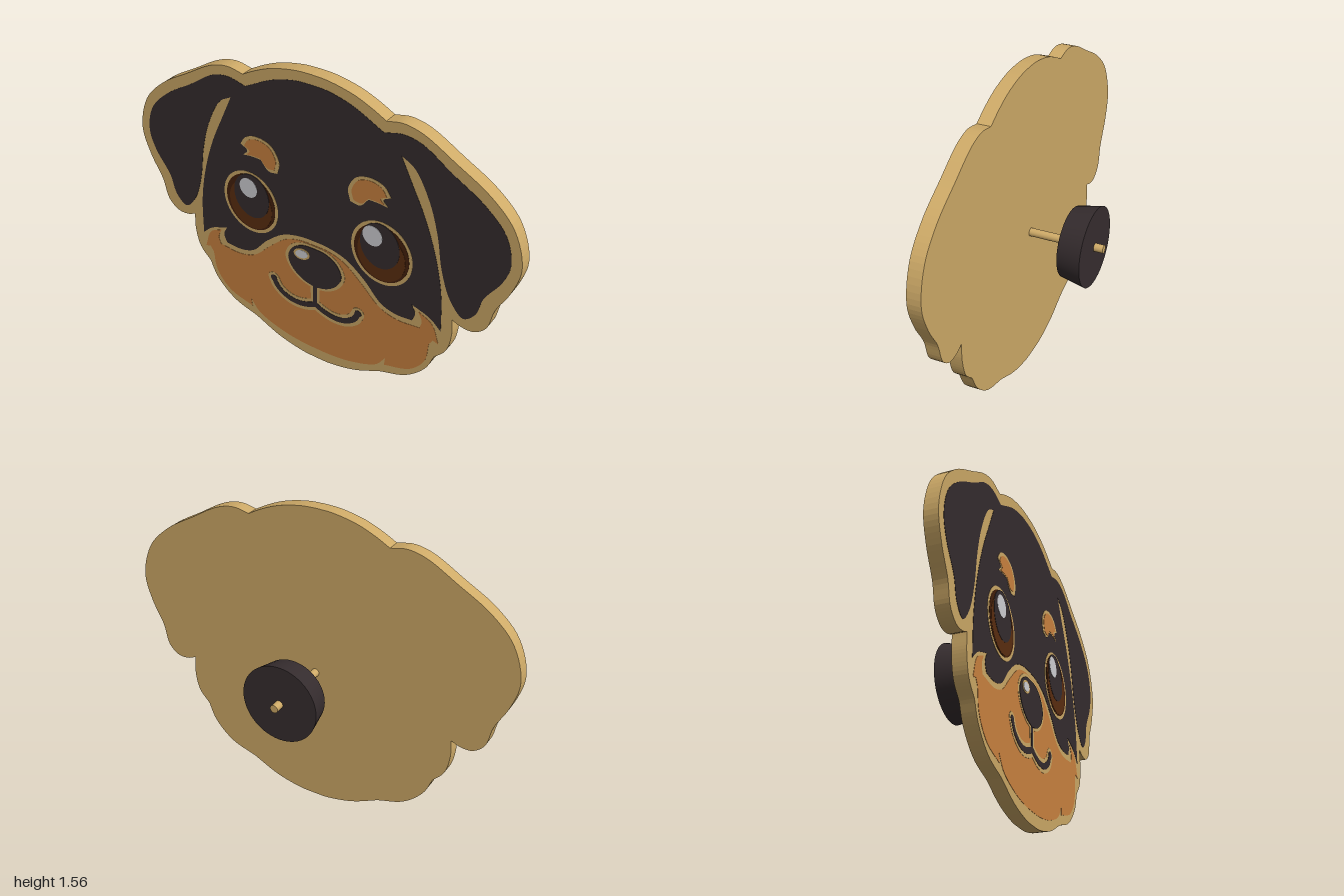
import * as THREE from 'three';

const mat = (name, color) => {
  const m = new THREE.MeshStandardMaterial({ color });
  m.name = name;
  return m;
};

// Smooth curve through each segment, with sharp corners where segments meet
function trace(segments) {
  const out = [];
  for (const seg of segments) {
    const pts = seg.map(([x, y]) => new THREE.Vector3(x, y, 0));
    const line = pts.length > 2
      ? new THREE.CatmullRomCurve3(pts, false, 'centripetal').getPoints((pts.length - 1) * 6)
      : pts;
    line.forEach((p, i) => { if (i || !out.length) out.push(new THREE.Vector2(p.x, p.y)); });
  }
  return out;
}

// Closed symmetric outline from its right half (top centre to bottom centre)
function mirrored(segments) {
  const half = trace(segments);
  const other = half.slice(1, -1).reverse().map(p => new THREE.Vector2(-p.x, p.y));
  return half.concat(other);
}

function ellipse(cx, cy, rx, ry, rot = 0) {
  return new THREE.EllipseCurve(cx, cy, rx, ry, 0, Math.PI * 2, false, rot).getPoints(48).slice(0, -1)
    .map(p => {
      // the curve rotates about its own centre
      return new THREE.Vector2(p.x, p.y);
    });
}

// Round-ended stroke of constant width along a path
function stroke(path, width) {
  const c = new THREE.CatmullRomCurve3(path.map(([x, y]) => new THREE.Vector3(x, y, 0)), false, 'centripetal');
  const n = 30, r = width / 2, a = [], b = [], cap = [];
  for (let i = 0; i <= n; i++) {
    const p = c.getPoint(i / n), t = c.getTangent(i / n);
    a.push(new THREE.Vector2(p.x - t.y * r, p.y + t.x * r));
    b.unshift(new THREE.Vector2(p.x + t.y * r, p.y - t.x * r));
    if (i === n) {
      const start = Math.atan2(t.x, -t.y);
      for (let k = 1; k < 8; k++) {
        const w = start - Math.PI * k / 8;
        cap.push(new THREE.Vector2(p.x + Math.cos(w) * r, p.y + Math.sin(w) * r));
      }
    }
  }
  return a.concat(cap, b);
}

export function createModel() {
  const group = new THREE.Group();
  const gold = mat('gold metal', 0xcfab68);
  const black = mat('black enamel', 0x362d2f);
  const tan = mat('tan enamel', 0xcc8441);
  const brown = mat('brown enamel', 0x5c2e10);
  const darkBrown = mat('dark brown enamel', 0x45210b);
  const white = mat('white enamel', 0xd2d2d6);

  const add = (name, geo, material) => {
    const m = new THREE.Mesh(geo, material);
    m.name = name;
    group.add(m);
    return m;
  };
  const slab = (name, pts, material, z0, z1) => {
    const geo = new THREE.ExtrudeGeometry(new THREE.Shape(pts), { depth: z1 - z0, bevelEnabled: false });
    geo.translate(0, 0, z0);
    return add(name, geo, material);
  };
  // Thin painted layer, stacked by level
  const FACE = 0.2155, STEP = 0.0012;
  const paint = (name, pts, material, level) =>
    slab(name, pts, material, FACE - 0.001, FACE + STEP * level);

  // Metal backing plate
  slab('backingPlate', mirrored([
    [[0, 1.562], [0.08, 1.558], [0.2, 1.533], [0.29, 1.497], [0.36, 1.46]],
    [[0.36, 1.46], [0.44, 1.474], [0.53, 1.455], [0.68, 1.372], [0.84, 1.275], [0.95, 1.16], [1, 0.99],
      [0.965, 0.85], [0.905, 0.73], [0.875, 0.62], [0.82, 0.573], [0.76, 0.572], [0.715, 0.59]],
    [[0.715, 0.59], [0.718, 0.5], [0.695, 0.4], [0.64, 0.335]],
    [[0.64, 0.335], [0.6, 0.245], [0.5, 0.15], [0.36, 0.1]],
    [[0.36, 0.1], [0.22, 0.035], [0.08, 0.003], [0, 0]],
  ]), gold, 0.15, FACE);

  // Black head and ears, with a slit between ear and cheek
  paint('headAndEars', mirrored([
    [[0, 1.515], [0.08, 1.511], [0.2, 1.48], [0.35, 1.405]],
    [[0.35, 1.405], [0.44, 1.425], [0.53, 1.408], [0.66, 1.325], [0.82, 1.225], [0.92, 1.12], [0.953, 0.99],
      [0.925, 0.89], [0.85, 0.77], [0.82, 0.67], [0.765, 0.622], [0.7, 0.69], [0.65, 0.83], [0.62, 1],
      [0.575, 1.15], [0.5, 1.285], [0.435, 1.325]],
    [[0.435, 1.325], [0.49, 1.21], [0.56, 1.06], [0.62, 0.88], [0.655, 0.7], [0.665, 0.5]],
    [[0.665, 0.5], [0.61, 0.548], [0.515, 0.585]],
    [[0.515, 0.585], [0.535, 0.54], [0.52, 0.495]],
    [[0.52, 0.495], [0.44, 0.49], [0.36, 0.515], [0.27, 0.61], [0.17, 0.685], [0.07, 0.712], [0, 0.715]],
  ]), black, 1);

  // Tan muzzle with cheek tufts
  paint('muzzle', mirrored([
    [[0, 0.692], [0.07, 0.69], [0.16, 0.662], [0.26, 0.578], [0.35, 0.492], [0.44, 0.462], [0.56, 0.47]],
    [[0.56, 0.47], [0.57, 0.51], [0.55, 0.56]],
    [[0.55, 0.56], [0.62, 0.52], [0.658, 0.42]],
    [[0.658, 0.42], [0.63, 0.43]],
    [[0.63, 0.43], [0.612, 0.4]],
    [[0.612, 0.4], [0.595, 0.29], [0.52, 0.2], [0.385, 0.155]],
    [[0.385, 0.155], [0.39, 0.2]],
    [[0.39, 0.2], [0.34, 0.135], [0.2, 0.08], [0.08, 0.062], [0, 0.06]],
  ]), tan, 1);

  // Brows and eyes
  const brow = [[[0.375, 1.1], [0.35, 1.135], [0.3, 1.152], [0.235, 1.135], [0.2, 1.075], [0.21, 1.025]],
    [[0.21, 1.025], [0.25, 1.022], [0.285, 1.06]],
    [[0.285, 1.06], [0.33, 1.06], [0.365, 1.055]],
    [[0.365, 1.055], [0.345, 1.08], [0.375, 1.1]]];
  for (const [side, s] of [['left', 1], ['right', -1]]) {
    const shape = (grow) => trace(brow).slice(0, -1).map(p =>
      new THREE.Vector2(s * (0.285 + (p.x - 0.285) * grow), 1.085 + (p.y - 1.085) * grow));
    paint(side + 'BrowRim', shape(1.22), gold, 2);
    paint(side + 'Brow', shape(1), tan, 3);
    const x = s * 0.355;
    paint(side + 'EyeRim', ellipse(x, 0.797, 0.156, 0.167), gold, 2);
    paint(side + 'EyeSocket', ellipse(x, 0.797, 0.14, 0.15), darkBrown, 3);
    paint(side + 'Iris', ellipse(x, 0.785, 0.122, 0.132), brown, 4);
    paint(side + 'Pupil', ellipse(s * 0.347, 0.835, 0.1, 0.118), black, 5);
    paint(side + 'EyeHighlight', ellipse(s > 0 ? 0.31 : -0.362, 0.877, 0.05, 0.052), white, 6);
  }

  // Nose and its highlight
  const nose = (g) => mirrored([[[0, 0.675], [0.06, 0.67], [0.12, 0.635], [0.148, 0.575], [0.125, 0.515],
    [0.07, 0.47], [0, 0.45]]]).map(p => new THREE.Vector2(p.x * g, 0.565 + (p.y - 0.565) * g));
  paint('noseRim', nose(1.12), gold, 2);
  paint('nose', nose(1), black, 4);
  paint('noseHighlightRim', ellipse(-0.07, 0.617, 0.046, 0.031, 0.3), gold, 5);
  paint('noseHighlight', ellipse(-0.07, 0.617, 0.036, 0.022, 0.3), white, 6);

  // Mouth strokes with metal borders
  const smile = [[-0.24, 0.4], [-0.215, 0.355], [-0.16, 0.32], [-0.1, 0.312], [-0.04, 0.326], [0, 0.345]];
  for (const s of [1, -1]) {
    const path = smile.map(([x, y]) => [-s * x, y]).reverse();
    const side = s > 0 ? 'left' : 'right';
    paint(side + 'MouthRim', stroke(path, 0.066), gold, 2);
    paint(side + 'Mouth', stroke(path, 0.03), black, 3);
    const tip = path[path.length - 1];
    paint(side + 'MouthEnd', ellipse(tip[0], tip[1], 0.018, 0.018), black, 3);
  }
  paint('lipLineRim', stroke([[0, 0.47], [0, 0.4], [0, 0.34]], 0.05), gold, 2);
  paint('lipLine', stroke([[0, 0.47], [0, 0.4], [0, 0.34]], 0.022), black, 3);

  // Rear post and rubber clutch
  const post = add('post', new THREE.CylinderGeometry(0.02, 0.02, 0.37, 24), gold);
  post.rotation.x = Math.PI / 2;
  post.position.set(0, 0.726, -0.035);
  const clutch = add('clutch', new THREE.CylinderGeometry(0.17, 0.195, 0.12, 48), black);
  clutch.rotation.x = Math.PI / 2;
  clutch.position.set(0, 0.726, -0.115);

  return group;
}
